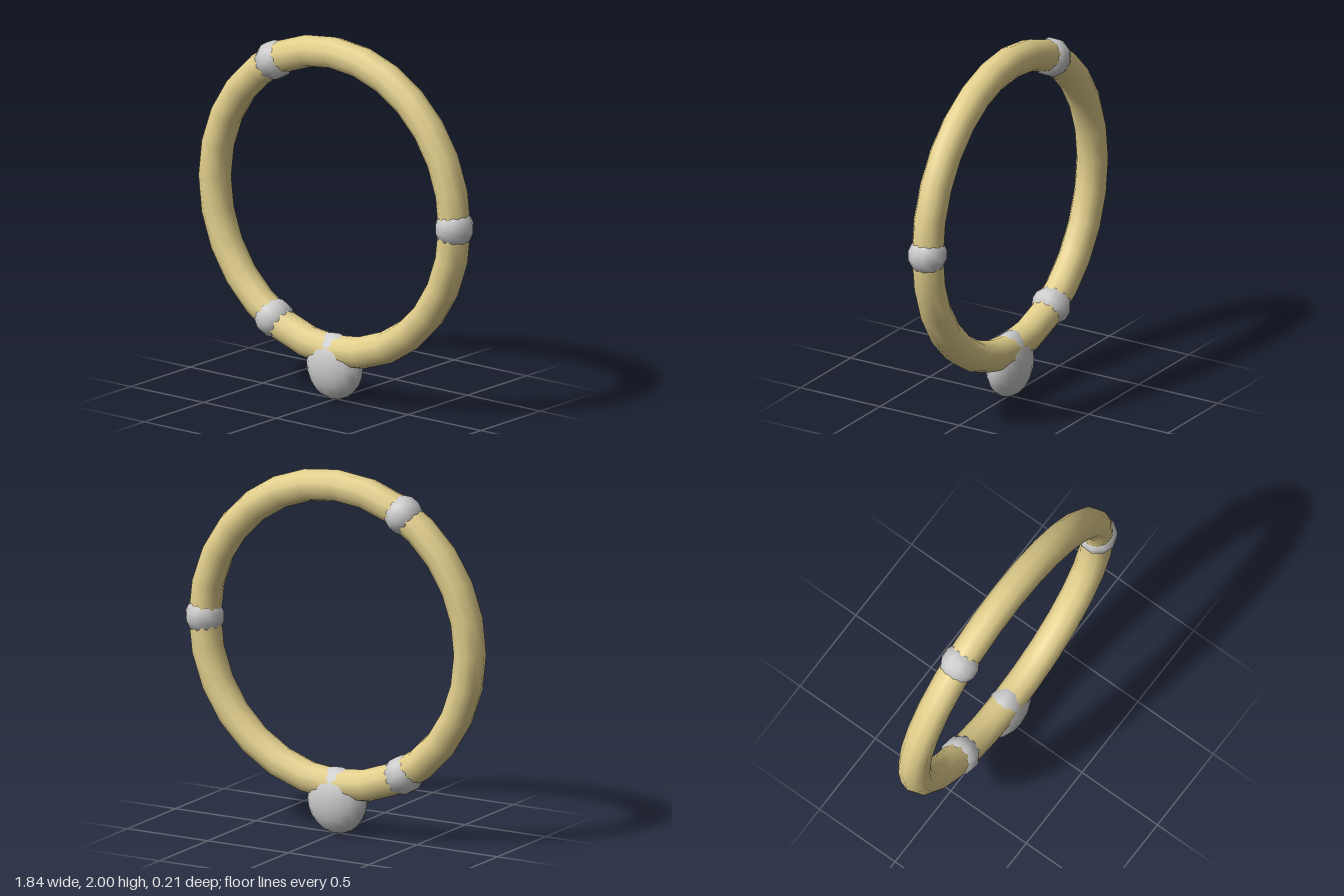
import * as THREE from 'three';

const CENTRE = [-0.006, 1.089, 0];
const RING_RADIUS = 0.824;
const TUBE_RADIUS = 0.0875;

export function createModel() {
  const model = new THREE.Group();
  model.name = 'ringWithBeads';
  const gold = new THREE.MeshStandardMaterial({ color: 0xe2cf8c });
  const grey = new THREE.MeshStandardMaterial({ color: 0xcccccc });

  // Upright hoop
  const hoop = new THREE.Mesh(new THREE.TorusGeometry(RING_RADIUS, TUBE_RADIUS, 10, 28), gold);
  hoop.name = 'hoop';
  hoop.position.set(...CENTRE);
  model.add(hoop);

  // Three beads threaded on the hoop, poles along the tube
  const beadGeometry = new THREE.SphereGeometry(0.108, 10, 7).rotateY(Math.PI / 2);
  for (let i = 0; i < 3; i++) {
    const angle = (i * Math.PI * 2) / 3;
    const bead = new THREE.Mesh(beadGeometry, grey);
    bead.name = `bead${i + 1}`;
    bead.position.set(
      CENTRE[0] + RING_RADIUS * Math.cos(angle),
      CENTRE[1] + RING_RADIUS * Math.sin(angle),
      0
    );
    bead.rotation.z = angle;
    model.add(bead);
  }

  // Flattened pendant wrapped around the bottom of the hoop
  const pendant = new THREE.Mesh(new THREE.SphereGeometry(1, 16, 12), grey);
  pendant.name = 'pendant';
  pendant.scale.set(0.174, 0.182, 0.107);
  pendant.position.set(CENTRE[0], 0.182, 0);
  model.add(pendant);

  return model;
}
